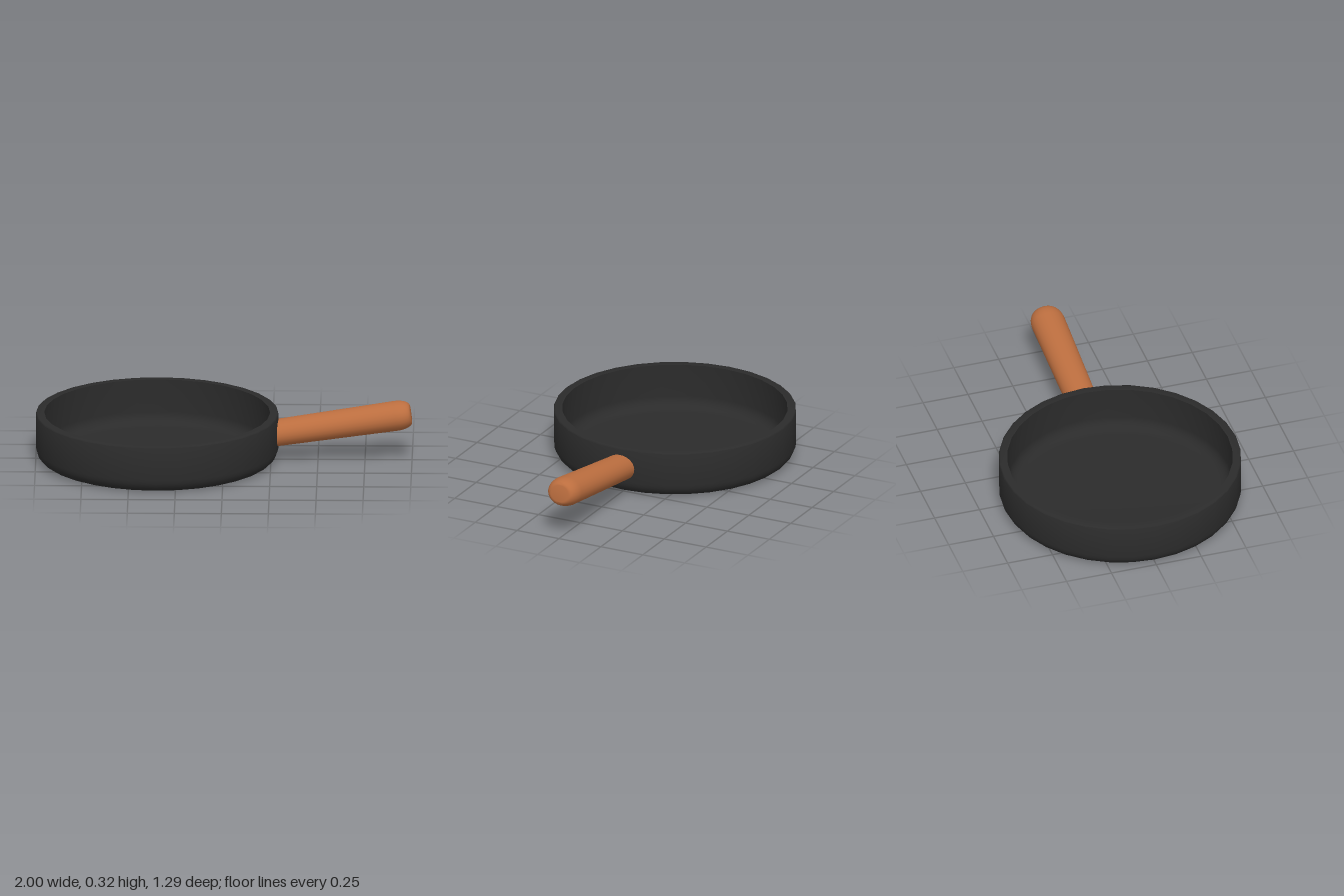
import * as THREE from 'three';
import { toCreasedNormals } from 'three/addons/utils/BufferGeometryUtils.js';

// Points along a rounded corner of radii rx and ry, from angle a to angle b (degrees)
function arc(cx, cy, rx, ry, a, b, steps) {
  const points = [];
  for (let i = 0; i <= steps; i++) {
    const t = THREE.MathUtils.degToRad(a + ((b - a) * i) / steps);
    points.push(new THREE.Vector2(cx + rx * Math.cos(t), cy + ry * Math.sin(t)));
  }
  return points;
}

export function createModel() {
  const group = new THREE.Group();
  group.name = 'fryingPan';
  const iron = new THREE.MeshStandardMaterial({ name: 'black iron', color: 0x2b2b2b });
  const wood = new THREE.MeshStandardMaterial({ name: 'warm wood', color: 0xbc6e3f });

  // Pan: rounded base, upright wall, flat rim, and filleted inside floor
  const panProfile = [
    new THREE.Vector2(0, 0),
    ...arc(0.575, 0.07, 0.07, 0.07, -90, 0, 6),
    ...arc(0.639, 0.252, 0.006, 0.006, 0, 90, 2),
    new THREE.Vector2(0.6, 0.258),
    ...arc(0.535, 0.08, 0.065, 0.065, 0, -90, 6),
    new THREE.Vector2(0, 0.015),
  ];
  const pan = new THREE.Mesh(
    toCreasedNormals(new THREE.LatheGeometry(panProfile, 32), 0.9), iron);
  pan.name = 'pan';
  pan.position.x = -0.355;
  group.add(pan);

  // Handle: slightly widening oval grip with a long rounded end, tilted upward
  const length = 0.74;
  const handleProfile = [
    new THREE.Vector2(0, 0),
    new THREE.Vector2(0.071, 0),
    ...arc(0.045, length - 0.08, 0.034, 0.08, 0, 90, 8),
    new THREE.Vector2(0, length),
  ];
  const handleGeometry = toCreasedNormals(new THREE.LatheGeometry(handleProfile, 24), 0.7);
  handleGeometry.scale(1, 1, 1.16);
  const handle = new THREE.Mesh(handleGeometry, wood);
  handle.name = 'handle';
  handle.rotation.z = THREE.MathUtils.degToRad(8.6 - 90);
  handle.position.set(0.262, 0.145, 0);
  group.add(handle);

  return group;
}
